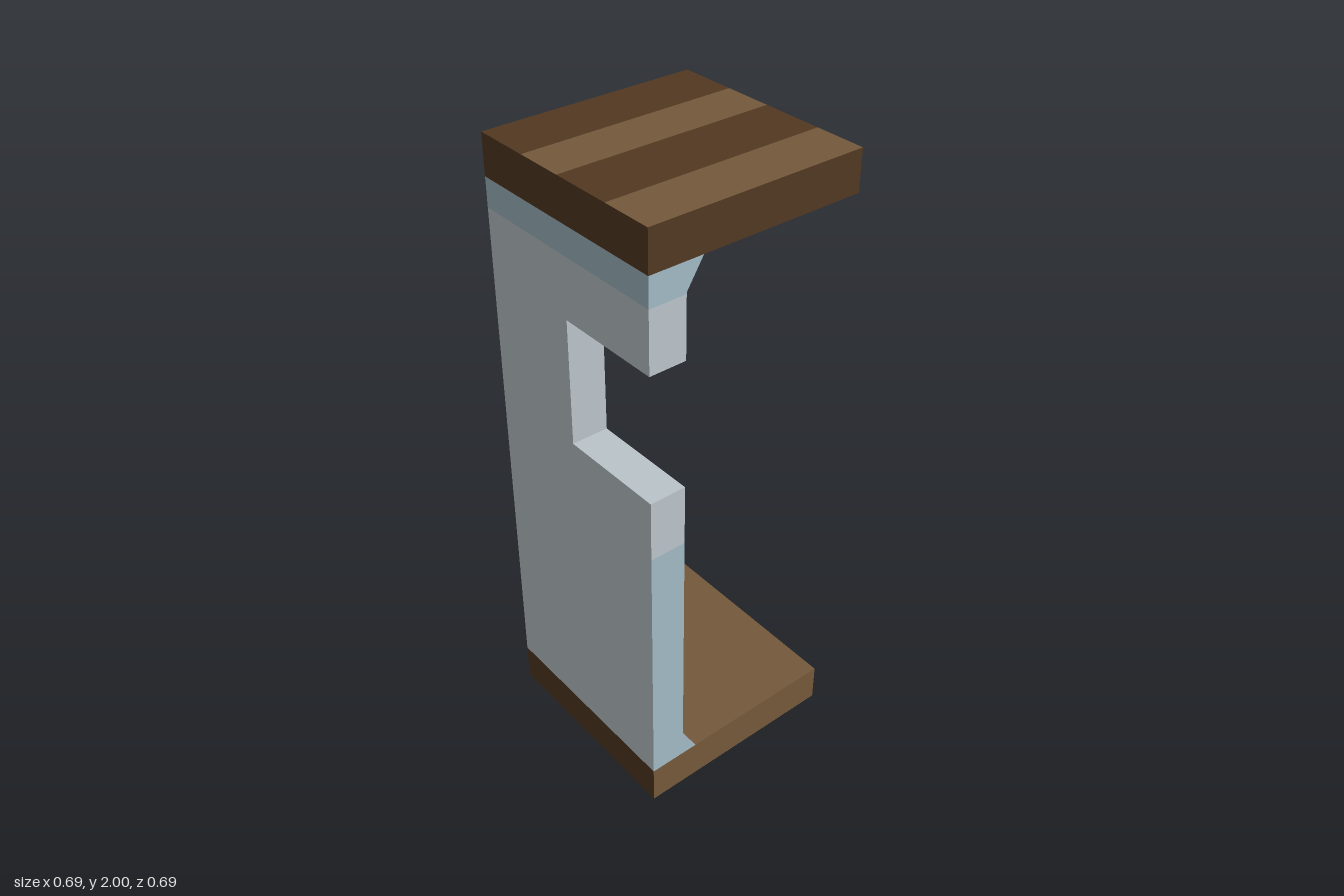
import * as THREE from 'three';

function makeMaterial(name, color) {
  const m = new THREE.MeshStandardMaterial({ color });
  m.name = name;
  return m;
}

export function createModel() {
  const dark = makeMaterial('darkBrown', 0x523822);
  const light = makeMaterial('lightBrown', 0x75593a);
  const grey = makeMaterial('paleGrey', 0xbcc5cb);
  const blue = makeMaterial('paleBlue', 0xa2bac6);

  const W = 0.347;              // half width and half depth
  const BACK = 0.23;            // back face of the upright panel
  const LOW = 0.13, HIGH = 1.875; // slab faces that meet the panel
  const group = new THREE.Group();
  group.name = 'bracket';

  // Box between two corners; one material per face (+x -x +y -y +z -z), null leaves the face out
  function block(name, [x0, x1], [y0, y1], [z0, z1], faces) {
    const geo = new THREE.BoxGeometry(x1 - x0, y1 - y0, z1 - z0);
    geo.translate((x0 + x1) / 2, (y0 + y1) / 2, (z0 + z1) / 2);
    const index = [...geo.index.array];
    const kept = [], mats = [];
    geo.clearGroups();
    faces.forEach((mat, i) => {
      if (!mat) return;
      geo.addGroup(kept.length, 6, mats.length);
      kept.push(...index.slice(i * 6, i * 6 + 6));
      mats.push(mat);
    });
    geo.setIndex(kept);
    const mesh = new THREE.Mesh(geo, mats);
    mesh.name = name;
    group.add(mesh);
  }

  // Slabs
  const full = [-W, W], half = [-W, 0], open = [0, W];
  block('bottomSlab', full, [0, LOW], full, [light, dark, light, dark, dark, light]);
  block('topSlab', full, [HIGH, 2], full, [dark, dark, null, blue, dark, dark]);

  // Striped top face
  [-W, -0.165, -0.011, 0.184, W].forEach((x, i, xs) => {
    if (i === 4) return;
    block('topStripe', [x, xs[i + 1]], [1.998, 2], full,
      [null, null, i % 2 ? light : dark, null, null, null]);
  });

  // Upright panel, in bands: x range, y range, +x side, -x side, front, back
  const bands = [
    [full, [LOW, 1.0], blue, blue, grey, grey],
    [full, [1.0, 1.195], grey, grey, grey, grey],
    [half, [1.195, 1.395], grey, grey, grey, grey],
    [half, [1.395, 1.595], grey, blue, grey, grey],
    [full, [1.595, 1.785], grey, grey, grey, grey],
    [full, [1.785, HIGH], blue, blue, blue, null],
  ];
  for (const [xs, ys, right, left, front, back] of bands) {
    block('panelBand', xs, ys, [BACK, W], [right, left, null, null, front, back]);
  }

  // Floor and ceiling of the notch
  block('notchFloor', open, [1.19, 1.195], [BACK, W], [null, null, grey, null, null, null]);
  block('notchCeiling', open, [1.595, 1.6], [BACK, W], [null, null, null, grey, null, null]);

  // Sloped braces between panel and slabs: points are (z, y)
  function brace(name, points, slope) {
    const shape = new THREE.Shape(points.map(([z, y]) => new THREE.Vector2(z, y)));
    const geo = new THREE.ExtrudeGeometry(shape, { depth: 2 * W, bevelEnabled: false });
    geo.rotateY(-Math.PI / 2).translate(W, 0, 0);
    const mesh = new THREE.Mesh(geo, [blue, slope]);
    mesh.name = name;
    group.add(mesh);
  }
  brace('lowerBrace', [[0.177, LOW], [BACK, LOW], [BACK, 0.215]], grey);
  brace('upperBrace', [[0.177, HIGH], [BACK, 1.79], [BACK, HIGH]], blue);

  return group;
}
